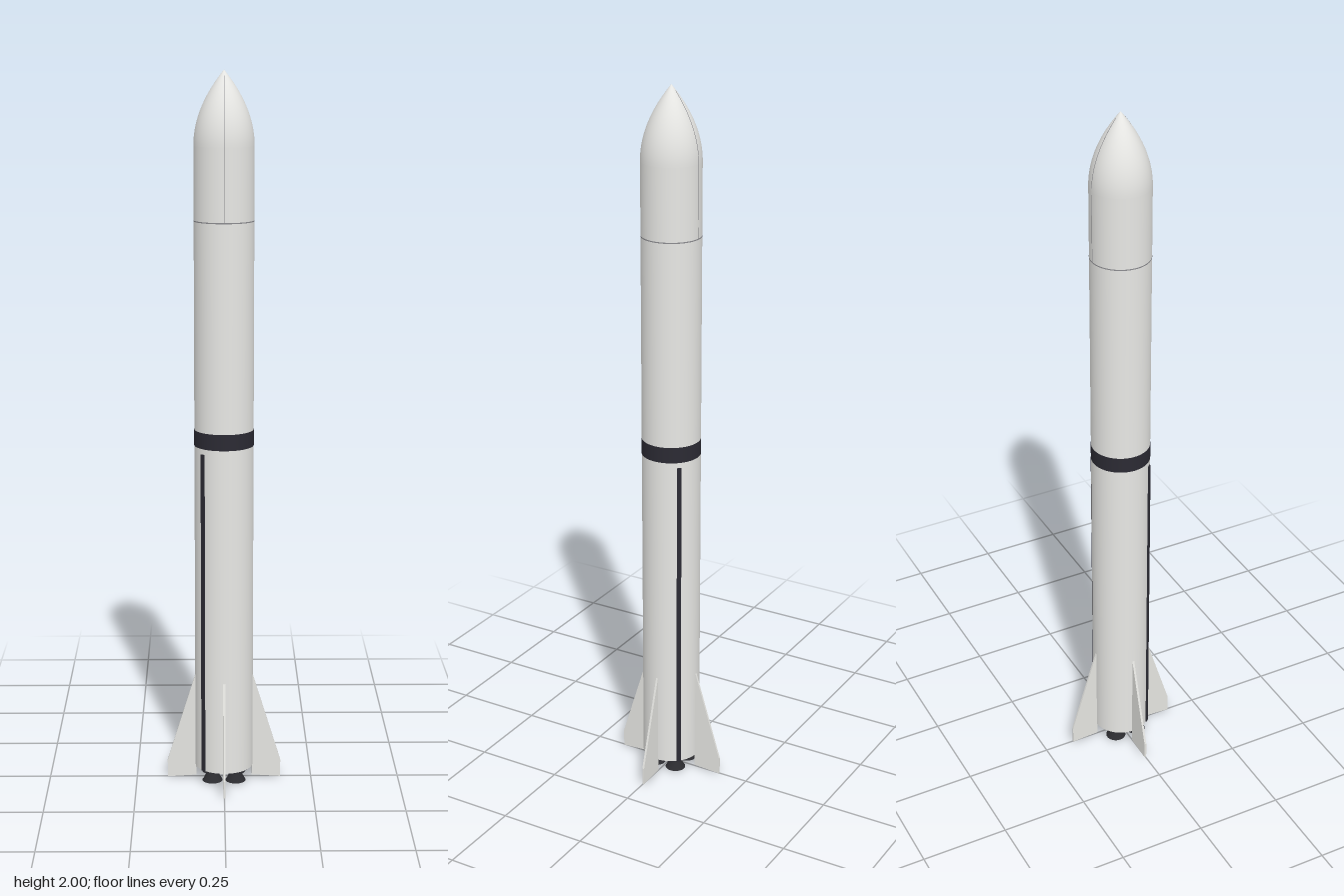
import * as THREE from 'three';

const R = 0.082;          // body radius
const BASE = 0.04;        // underside of the first stage
const SHOULDER = 1.8;     // start of the nose curve
const TOP = 2.0;

const material = (name, color, side = THREE.FrontSide) => {
  const m = new THREE.MeshStandardMaterial({ color, side });
  m.name = name;
  return m;
};

export function createModel() {
  const white = material('white', 0xeaeae7);
  const finWhite = material('fin white', 0xe4e4e0);
  const dark = material('dark', 0x2b2a33);
  const nozzleDark = material('nozzle dark', 0x2c2c30, THREE.DoubleSide);
  const seamGrey = material('seam grey', 0x8c8c90);

  const rocket = new THREE.Group();
  rocket.name = 'rocket';
  const add = (name, geometry, mat, parent = rocket) => {
    const mesh = new THREE.Mesh(geometry, mat);
    mesh.name = name;
    parent.add(mesh);
    return mesh;
  };
  const tube = (name, y0, y1, r, mat) => {
    const mesh = add(name, new THREE.CylinderGeometry(r, r, y1 - y0, 64), mat);
    mesh.position.y = (y0 + y1) / 2;
    return mesh;
  };

  // Stages, interstage band and fairing cylinder
  tube('firstStage', BASE, 0.98, R, white);
  tube('interstageBand', 0.98, 1.025, R + 0.0005, dark);
  tube('secondStage', 1.025, 1.6, R, white);
  tube('fairingSeam', 1.5985, 1.6015, R + 0.0004, seamGrey);
  tube('fairing', 1.6, SHOULDER, R, white);
  tube('basePlate', BASE - 0.002, BASE, R * 0.97, dark);

  // Rounded nose
  const noseRadius = (t) => R * (1 - t * t);
  const nose = [];
  for (let i = 0; i <= 28; i++) {
    const t = i / 28;
    nose.push(new THREE.Vector2(noseRadius(t), SHOULDER + (TOP - SHOULDER) * t));
  }
  add('noseCone', new THREE.LatheGeometry(nose, 64), white);

  // Fairing split lines, front and back
  const seam = new THREE.Shape();
  const outline = [[R + 0.0005, 1.6]];
  for (let i = 0; i <= 14; i++) {
    const t = (i / 14) * 0.92;
    outline.push([noseRadius(t) + 0.0005, SHOULDER + (TOP - SHOULDER) * t]);
  }
  outline.forEach(([x, y], i) => (i ? seam.lineTo(x, y) : seam.moveTo(x, y)));
  [...outline].reverse().forEach(([x, y]) => seam.lineTo(x - 0.006, y));
  const seamGeometry = new THREE.ExtrudeGeometry(seam, { depth: 0.0015, bevelEnabled: false });
  seamGeometry.translate(0, 0, -0.00075);
  for (const s of [1, -1]) add('splitLine', seamGeometry, seamGrey).rotation.y = (s * Math.PI) / 2;

  // Four swept fins
  const finShape = new THREE.Shape();
  [[0.08, 0.005], [0.08, 0.315], [0.162, 0.05], [0.162, 0]].forEach(([x, y], i) =>
    i ? finShape.lineTo(x, y) : finShape.moveTo(x, y));
  const finGeometry = new THREE.ExtrudeGeometry(finShape, { depth: 0.006, bevelEnabled: false });
  finGeometry.translate(0, 0, -0.003);
  for (let i = 0; i < 4; i++) add('fin', finGeometry, finWhite).rotation.y = (i * Math.PI) / 2;

  // Cable raceways on two opposite sides of the first stage
  for (const s of [1, -1]) {
    const raceway = add('raceway', new THREE.BoxGeometry(0.012, 0.925, 0.01), dark);
    raceway.position.set(s * 0.057, 0.5025, -s * 0.057);
    raceway.rotation.y = -Math.PI / 4;
  }

  // Four bell nozzles, set between the fins
  const bell = [[0.012, 0.042], [0.013, 0.034], [0.018, 0.022], [0.024, 0.01], [0.029, 0.002]]
    .map(([x, y]) => new THREE.Vector2(x, y));
  const bellGeometry = new THREE.LatheGeometry(bell, 32);
  for (const sx of [1, -1]) {
    for (const sz of [1, -1]) {
      add('nozzle', bellGeometry, nozzleDark).position.set(sx * 0.033, 0, sz * 0.033);
    }
  }
  return rocket;
}
